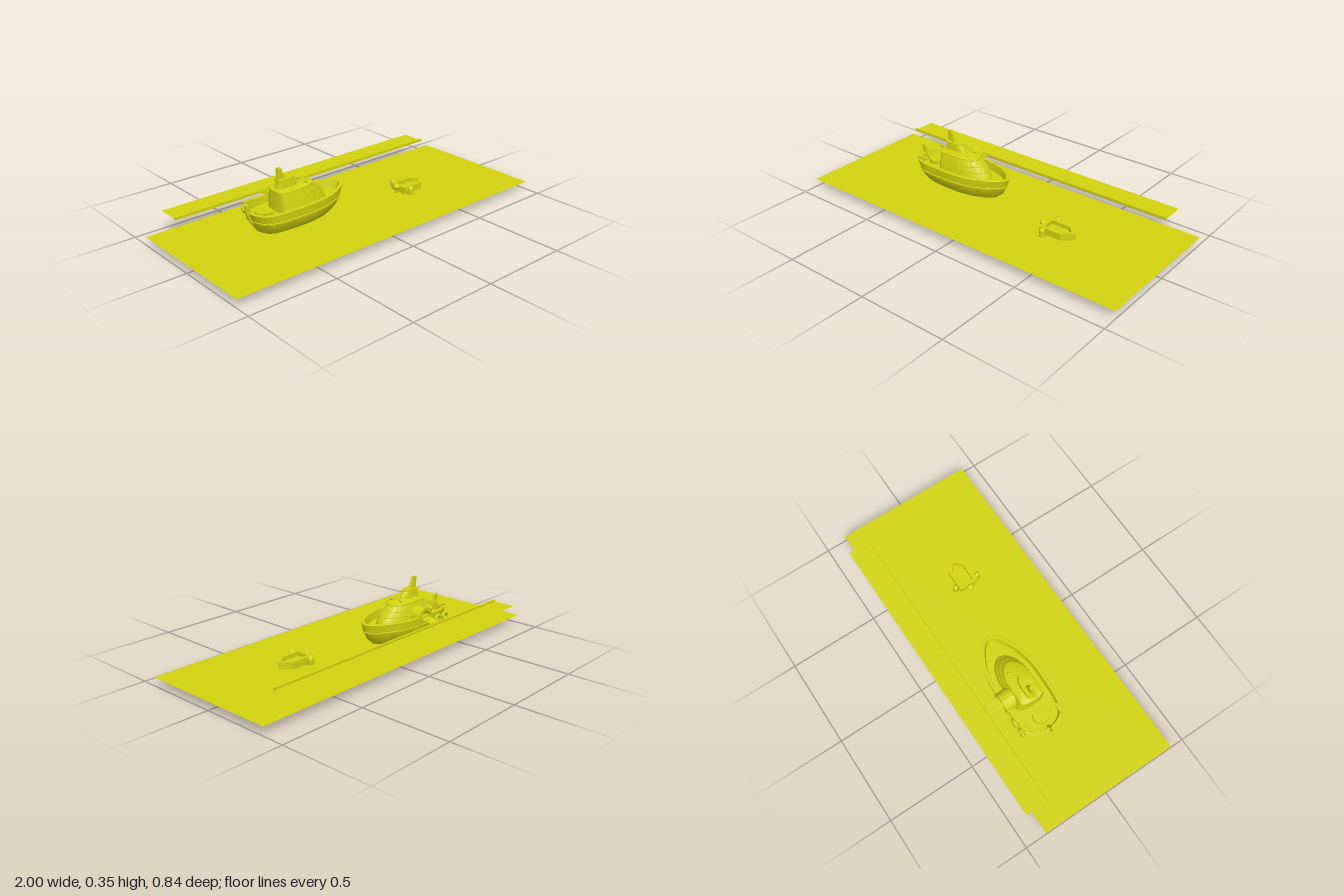
import * as THREE from 'three';
import { toCreasedNormals } from 'three/addons/utils/BufferGeometryUtils.js';

const paint = new THREE.MeshStandardMaterial({ color: 0xd2d20f, side: THREE.DoubleSide });
paint.name = 'yellow';

function add(parent, name, geometry, x = 0, y = 0, z = 0) {
  const mesh = new THREE.Mesh(geometry, paint);
  mesh.name = name;
  mesh.position.set(x, y, z);
  parent.add(mesh);
  return mesh;
}

// Plan half-widths along s: -1 is the stern, 1 the bow
const hullPlan = s => s > 0 ? (1 - s * s) ** 0.65 : Math.sqrt(1 - s ** 8) * (1 - 0.13 * s * s);
const cabinPlan = s => s > 0 ? Math.sqrt(1 - s * s) : Math.sqrt(1 - s ** 16);

// Point on a level [y, x0, x1, halfWidth]
function planPoint([y, x0, x1, w], angle, plan, sheer = 0) {
  const s = Math.cos(angle);
  const z = Math.sign(Math.sin(angle)) * Math.max(0, plan(s) || 0) * w;
  return new THREE.Vector3((x0 + x1) / 2 + s * (x1 - x0) / 2, y + sheer * s, z);
}

// Skin stacked plan outlines
function loft(levels, plan, sheer = 0, n = 56) {
  const positions = [], index = [];
  levels.forEach((level, j) => {
    const lift = level[0] > 0.1 ? sheer : 0;
    for (let i = 0; i < n; i++) {
      positions.push(...planPoint(level, i / n * Math.PI * 2, plan, lift).toArray());
      if (j === levels.length - 1) continue;
      const a = j * n + i, b = j * n + (i + 1) % n;
      index.push(a, a + n, b, b, a + n, b + n);
    }
  });
  const g = new THREE.BufferGeometry();
  g.setAttribute('position', new THREE.Float32BufferAttribute(positions, 3));
  g.setIndex(index);
  return toCreasedNormals(g, 0.6);
}

// Flat outline extruded symmetrically along z
function sidePlate(points, depth) {
  const shape = new THREE.Shape(points.map(p => new THREE.Vector2(...p)));
  return new THREE.ExtrudeGeometry(shape, { depth, bevelEnabled: false }).translate(0, 0, -depth / 2);
}

function makeShip() {
  const ship = new THREE.Group();
  ship.name = 'ship';
  ship.position.z = -0.07;

  // Hull, rub rail, bulwark and sunken deck
  add(ship, 'hull', loft([
    [0, -0.33, -0.33, 0], [0, -0.46, -0.2, 0.022], [0.018, -0.51, -0.13, 0.055],
    [0.042, -0.535, -0.07, 0.09], [0.08, -0.56, -0.025, 0.12], [0.114, -0.575, -0.005, 0.132],
    [0.116, -0.58, 0.001, 0.136], [0.123, -0.582, 0.003, 0.137], [0.125, -0.579, 0, 0.133],
    [0.168, -0.597, 0.013, 0.136], [0.17, -0.595, 0.011, 0.134], [0.17, -0.58, -0.008, 0.119],
    [0.128, -0.57, -0.02, 0.114], [0.128, -0.3, -0.3, 0]], hullPlan, 0.005));

  // Cabin and roof
  const base = [0.17, -0.43, -0.125, 0.081], eaves = [0.234, -0.43, -0.2, 0.062];
  add(ship, 'cabin', loft([[0.125, -0.43, -0.11, 0.086], base, eaves, [0.234, -0.3, -0.3, 0]], cabinPlan));
  add(ship, 'cabinRoof', loft([
    [0.234, -0.3, -0.3, 0], [0.234, -0.435, -0.192, 0.067], [0.24, -0.435, -0.194, 0.067],
    [0.245, -0.428, -0.205, 0.06], [0.246, -0.3, -0.3, 0]], cabinPlan));

  // Window frames around the cabin front
  const onCabin = (t, angle) => planPoint(base.map((v, k) => v + (eaves[k] - v) * t), angle, cabinPlan);
  const frames = new THREE.Group();
  frames.name = 'windowFrames';
  ship.add(frames);
  const bar = points => add(frames, 'windowBar',
    new THREE.TubeGeometry(new THREE.CatmullRomCurve3(points), 24, 0.0025, 6));
  for (const t of [0.1, 0.5, 0.92]) {
    bar(Array.from({ length: 17 }, (_, i) => onCabin(t, (i / 16 - 0.5) * 2.9)));
  }
  for (let i = 0; i < 9; i++) {
    const angle = (i / 8 - 0.5) * 2.9;
    bar([onCabin(0.1, angle), onCabin(0.92, angle)]);
  }

  // Funnel block, its cap and the mast fin
  add(ship, 'funnel', loft([
    [0.24, -0.42, -0.285, 0.026], [0.265, -0.41, -0.295, 0.024], [0.285, -0.41, -0.315, 0.022],
    [0.285, -0.36, -0.36, 0]], cabinPlan));
  add(ship, 'funnelCap', loft([
    [0.285, -0.36, -0.36, 0], [0.285, -0.415, -0.302, 0.027], [0.292, -0.415, -0.302, 0.027],
    [0.292, -0.36, -0.36, 0]], cabinPlan));
  add(ship, 'mastFin', sidePlate([[-0.41, 0.29], [-0.36, 0.29], [-0.372, 0.312], [-0.388, 0.353], [-0.41, 0.353]], 0.016));

  // Roof lamps and foredeck hatch
  for (const side of [-1, 1]) {
    add(ship, 'roofLamp', new THREE.SphereGeometry(0.009, 14, 10), -0.25, 0.252, side * 0.032);
    add(ship, 'sternBollard', new THREE.BoxGeometry(0.06, 0.012, 0.014), -0.53, 0.176, side * 0.093);
    add(ship, 'bollardPost', new THREE.CylinderGeometry(0.005, 0.005, 0.05, 10), -0.53, 0.153, side * 0.093);
  }

  // Upright stern post
  add(ship, 'sternPost', sidePlate([
    [-0.572, 0.09], [-0.56, 0.13], [-0.575, 0.165], [-0.592, 0.207], [-0.612, 0.207], [-0.607, 0.165], [-0.59, 0.12]], 0.014));

  // Raised aft seat
  add(ship, 'aftSeat', new THREE.CylinderGeometry(0.045, 0.045, 0.022, 32), -0.5, 0.139, 0);

  // Arched boarding entrance on the right side
  const arch = new THREE.Shape().moveTo(-0.055, -0.035).lineTo(0.055, -0.035).lineTo(0.055, 0);
  arch.absarc(0, 0, 0.055, 0, Math.PI, false);
  const door = new THREE.Path().moveTo(-0.038, -0.034).lineTo(-0.038, 0);
  door.absarc(0, 0, 0.038, Math.PI, 0, true);
  door.lineTo(0.038, -0.034);
  arch.holes.push(door);
  add(ship, 'entranceArch', toCreasedNormals(new THREE.ExtrudeGeometry(arch,
    { depth: 0.085, bevelEnabled: false, curveSegments: 20 }), 0.6), -0.335, 0.16, -0.14);

  // Round fenders on the quay side
  for (const x of [-0.515, -0.455]) {
    add(ship, 'fender', new THREE.TorusGeometry(0.02, 0.009, 10, 24), x, 0.122, -0.133);
  }
  return ship;
}

function makeGangway() {
  const gangway = new THREE.Group();
  gangway.name = 'gangway';
  gangway.position.set(-0.335, 0.149, -0.246);
  gangway.rotation.x = -0.17;
  add(gangway, 'gangwayPlank', new THREE.BoxGeometry(0.07, 0.005, 0.095));
  for (const x of [-0.03, 0.03]) for (const z of [-0.036, 0.002, 0.036]) {
    add(gangway, 'gangwayPost', new THREE.CylinderGeometry(0.002, 0.002, 0.01, 8), x, 0.005, z);
    add(gangway, 'gangwayKnob', new THREE.SphereGeometry(0.0045, 10, 8), x, 0.011, z);
  }
  return gangway;
}

function makeDinghy() {
  const dinghy = new THREE.Group();
  dinghy.name = 'dinghy';
  dinghy.position.z = 0.037;
  const outline = (inset, Type = THREE.Shape) => {
    const w = 0.055 - inset, x0 = 0.34 + inset, x1 = 0.47 - inset * 0.4;
    return new Type([[x0, -w], [x1, -w], [0.53 - inset * 1.4, 0], [x1, w], [x0, w]]
      .map(p => new THREE.Vector2(...p)));
  };
  const slab = (name, shape, y, depth) => {
    const mesh = add(dinghy, name, new THREE.ExtrudeGeometry(shape, { depth, bevelEnabled: false }), 0, y, 0);
    mesh.rotation.x = -Math.PI / 2;
  };
  // Hull and open gunwale
  slab('dinghyHull', outline(0.004), 0.036, 0.028);
  const rim = outline(0);
  rim.holes.push(outline(0.02, THREE.Path));
  slab('dinghyGunwale', rim, 0.062, 0.024);

  // Upright floats at the sides
  for (const side of [-1, 1]) {
    add(dinghy, 'float', new THREE.CapsuleGeometry(0.0165, 0.031, 8, 20), 0.372, 0.062, side * 0.07);
  }
  // Outboard motor
  const motor = add(dinghy, 'outboardMotor', new THREE.SphereGeometry(0.018, 16, 12), 0.329, 0.081, 0);
  motor.scale.set(1, 0.8, 1.2);
  add(dinghy, 'motorLeg', new THREE.BoxGeometry(0.012, 0.04, 0.012), 0.327, 0.058, 0);
  return dinghy;
}

export function createModel() {
  const model = new THREE.Group();
  model.name = 'harbourScene';

  // Water sheet
  add(model, 'water', new THREE.PlaneGeometry(2, 0.795).rotateX(-Math.PI / 2), 0, 0.046, 0.0175);
  // Quay surface with coping along its edge
  add(model, 'quay', new THREE.PlaneGeometry(1.73, 0.14).rotateX(-Math.PI / 2), -0.015, 0.14, -0.352);
  add(model, 'quayCoping', new THREE.BoxGeometry(1.73, 0.014, 0.012), -0.015, 0.144, -0.288);

  model.add(makeShip(), makeGangway(), makeDinghy());
  return model;
}
